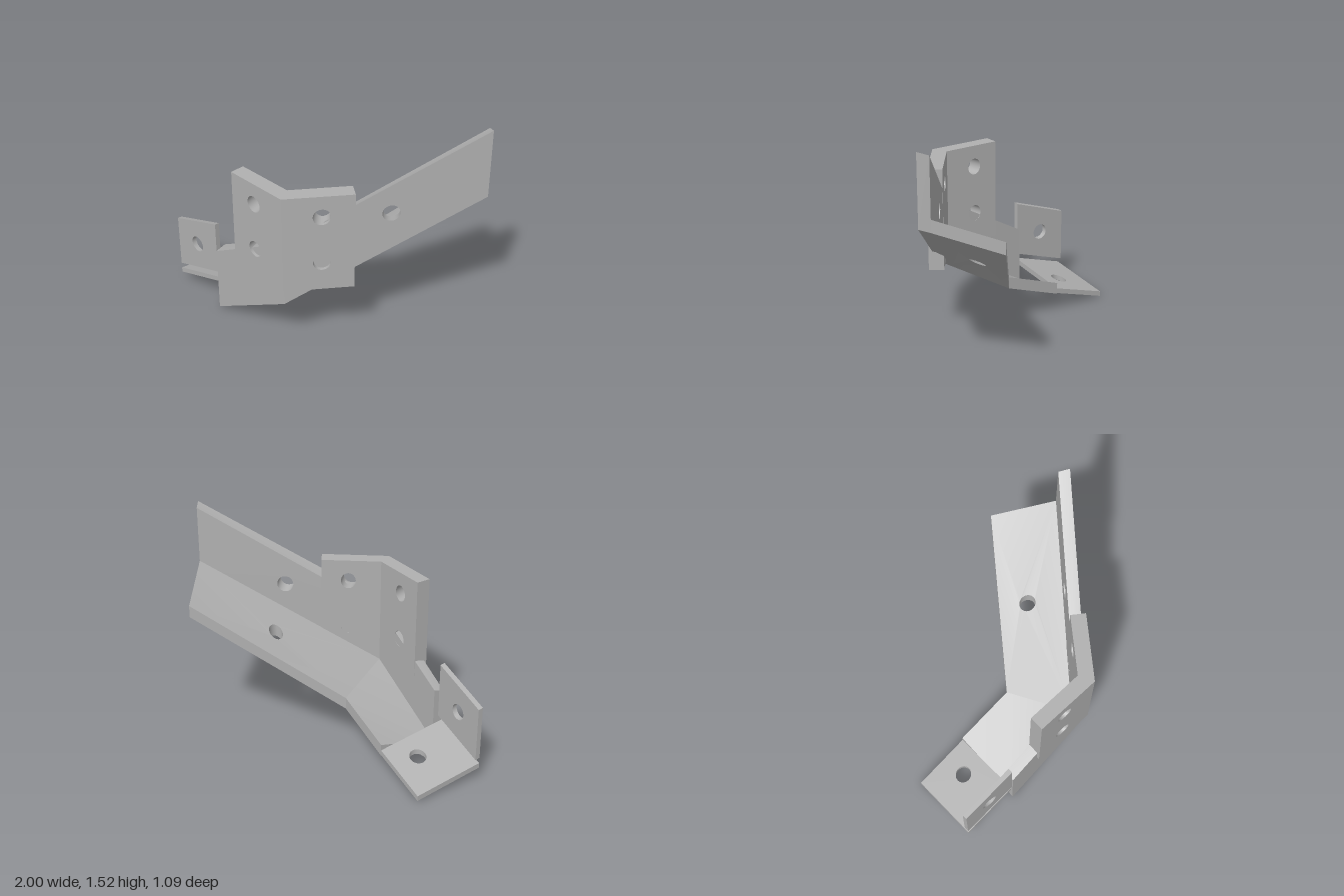
import * as THREE from 'three';
import { toCreasedNormals } from 'three/addons/utils/BufferGeometryUtils.js';

const steel = new THREE.MeshStandardMaterial({ color: 0xb0b0b0 });
steel.name = 'steelGrey';

const vec = (p) => new THREE.Vector3(...p);

// Point at (u, v) on a four-cornered patch
function onQuad(q, u, v) {
  const low = q[0].clone().lerp(q[1], u);
  const high = q[3].clone().lerp(q[2], u);
  return low.lerp(high, v);
}

// Finds (u, v) on a patch from x and one more coordinate (y or z)
function locate(q, axis, x, t) {
  const e1 = q[1].clone().sub(q[0]), e2 = q[3].clone().sub(q[0]);
  const det = e1.x * e2[axis] - e1[axis] * e2.x;
  let u = 0.5, v = 0.5;
  for (let i = 0; i < 25; i++) {
    const p = onQuad(q, u, v);
    const dx = x - p.x, dt = t - p[axis];
    u += (dx * e2[axis] - dt * e2.x) / det;
    v += (e1.x * dt - e1[axis] * dx) / det;
  }
  return new THREE.Vector2(u, v);
}

// Solid between a front and a back patch, with round holes [x, t, rx, rt]
function slab(name, front, back, axis = 'y', holes = []) {
  const f = front.map(vec), b = back.map(vec);
  const shape = new THREE.Shape([[0, 0], [1, 0], [1, 1], [0, 1]].map((p) => new THREE.Vector2(...p)));
  for (const [x, t, rx, rt] of holes) {
    const ring = [];
    for (let i = 0; i < 32; i++) {
      const a = (i / 32) * Math.PI * 2;
      ring.push(locate(f, axis, x + rx * Math.cos(a), t + rt * Math.sin(a)));
    }
    shape.holes.push(new THREE.Path(ring));
  }
  const geo = new THREE.ExtrudeGeometry(shape, { depth: 1, bevelEnabled: false });
  const pos = geo.attributes.position;
  for (let i = 0; i < pos.count; i++) {
    const u = pos.getX(i), v = pos.getY(i);
    const p = onQuad(b, u, v).lerp(onQuad(f, u, v), pos.getZ(i));
    pos.setXYZ(i, p.x, p.y, p.z);
  }
  const mesh = new THREE.Mesh(toCreasedNormals(geo, 0.5), steel);
  mesh.name = name;
  return mesh;
}

// L-shaped cross-section from its bottom points: outer, inner corner, back edge
const H = 0.455, T = 0.08;
function section(outer, inner, back) {
  const up = ([x, y, z], d) => [x, y + d, z];
  return {
    outer, inner, back,
    outerTop: up(outer, H), innerTop: up(inner, H),
    innerFloor: up(inner, T), backFloor: up(back, T),
  };
}

export function createModel() {
  const group = new THREE.Group();
  group.name = 'angleBracket';

  // Folded L-profile: left end, fold, right end
  const left = section([-0.71, 0.005, 0.085], [-0.66, 0.025, 0.035], [-0.38, 0.135, -0.28]);
  const fold = section([-0.235, 0.375, 0.52], [-0.21, 0.36, 0.44], [-0.08, 0.28, 0]);
  const right = section([0.995, 1.07, 0.31], [0.98, 1.05, 0.24], [0.91, 0.92, -0.175]);

  const arm = (name, a, b, wallHoles, floorHoles) => {
    group.add(slab(name + 'Wall',
      [a.outer, b.outer, b.outerTop, a.outerTop],
      [a.inner, b.inner, b.innerTop, a.innerTop], 'y', wallHoles));
    group.add(slab(name + 'Floor',
      [a.innerFloor, b.innerFloor, b.backFloor, a.backFloor],
      [a.inner, b.inner, b.back, a.back], 'z', floorHoles));
  };
  arm('lowerArm', left, fold, [], []);
  arm('upperArm', fold, right, [[0.415, 1.0, 0.055, 0.055]], [[0.42, 0.1, 0.045, 0.053]]);

  // Upright folded plate around the bend
  const upright = (name, o1, o2, i1, i2, holes) => {
    const face = (p, q) => [
      [p[0], 0.49, p[1]], [q[0], 0.49, q[1]], [q[0], 1.165, q[1]], [p[0], 1.165, p[1]],
    ];
    group.add(slab(name, face(o1, o2), face(i1, i2), 'y', holes));
  };
  const oFold = [-0.24, 0.545], iFold = [-0.21, 0.44];
  upright('uprightPlateSide', [-0.565, 0.245], oFold, [-0.5, 0.175], iFold,
    [1.02, 0.69].map((y) => [-0.42, y, 0.04, 0.055]));
  upright('uprightPlateFront', oFold, [0.2, 0.47], iFold, [0.18, 0.373],
    [1.02, 0.69].map((y) => [0, y, 0.055, 0.055]));

  // Thin end tabs
  const shift = (q, dx, dy, dz) => q.map(([x, y, z]) => [x + dx, y + dy, z + dz]);
  const wallTab = [[-1, 0.16, -0.19], [-0.71, 0.29, 0.08], [-0.71, 0.665, 0.08], [-1, 0.53, -0.19]];
  group.add(slab('endTabWall', wallTab, shift(wallTab, 0.022, -0.005, -0.025), 'y',
    [[-0.855, 0.415, 0.04, 0.055]]));
  const floorTab = [[-1, 0.12, -0.19], [-0.71, 0.245, 0.075], [-0.38, 0.175, -0.28], [-0.67, 0.05, -0.545]];
  group.add(slab('endTabFloor', floorTab, shift(floorTab, 0, -0.035, 0), 'z',
    [[-0.615, -0.255, 0.055, 0.053]]));

  return group;
}
